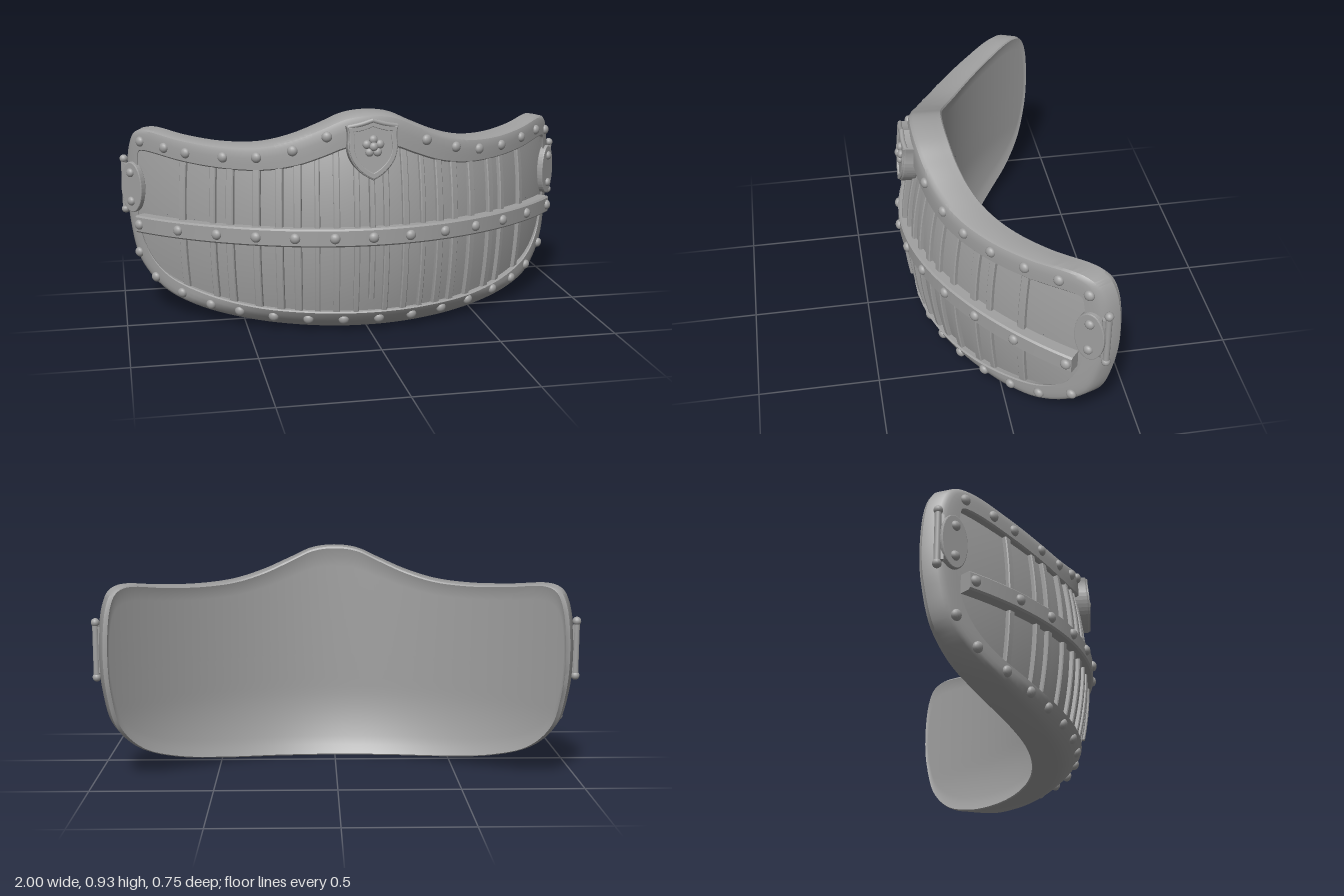
import * as THREE from 'three';
import { toCreasedNormals } from 'three/addons/utils/BufferGeometryUtils.js';

const V = (x, y, z) => new THREE.Vector3(x, y, z);

// Half outlines of the rim, from bottom centre to top centre: outer x, y, inner x, y
const HALF = [
  [0, .003, 0, .095], [.25, .008, .25, .097], [.5, .025, .48, .105], [.7, .06, .68, .135],
  [.84, .12, .81, .18], [.925, .22, .885, .26], [.96, .37, .925, .4], [.97, .55, .927, .55],
  [.955, .73, .922, .68], [.93, .79, .915, .71], [.89, .808, .89, .715], [.75, .79, .74, .695],
  [.6, .78, .58, .685], [.45, .79, .43, .69], [.32, .825, .3, .715], [.2, .875, .19, .755],
  [.1, .918, .1, .79], [0, .93, 0, .8],
];

// Depth rules: the whole plate is bent along a parabola
const bend = (x) => -.6 * x * x - .04 * x ** 8;
const rimZ = (x, y) => .28 + bend(x) - .085 * Math.max(0, 1 - y / .1) ** 1.5;
const backZ = (x, y) => .14 + bend(x) - .07 * Math.max(0, 1 - y / .3) ** 2;
const panelZ = (x, y) => .26 + bend(x) - .04 * x * x + .04 * (1 - ((y - .42) / .33) ** 2);
const strapZ = (x) => .322 + bend(x);
const strapY = (x) => .43 - .04 * x * x;
const normalAt = (x, ny = 0) => V(1.2 * x, ny, 1).normalize();

// Closed smooth outline sampled evenly by index, so inner and outer points pair up
function outline(ix) {
  const right = HALF.map((p) => V(p[ix], p[ix + 1], 0));
  const left = right.slice(1, -1).reverse().map((p) => V(-p.x, p.y, 0));
  const curve = new THREE.CatmullRomCurve3([...right, ...left], true);
  return Array.from({ length: 204 }, (_, i) => curve.getPoint(i / 204));
}

// Skin a list of closed loops, optionally closing both ends
function loft(loops, capped = false, crease = .6) {
  const n = loops[0].length, idx = [];
  for (let k = 0; k < loops.length - 1; k++) {
    for (let i = 0; i < n; i++) {
      const j = (i + 1) % n, a = k * n + i, b = a + n, c = (k + 1) * n + j, d = k * n + j;
      idx.push(a, b, c, a, c, d);
    }
  }
  if (capped) {
    const e = (loops.length - 1) * n;
    for (let i = 1; i < n - 1; i++) idx.push(0, i, i + 1, e, e + i + 1, e + i);
  }
  const g = new THREE.BufferGeometry().setFromPoints(loops.flat());
  g.setIndex(idx);
  return toCreasedNormals(g, crease);
}

// Bevelled section: side position and height over the surface
const section = (h, low, top, b) =>
  [[-h, low], [-h, top - b], [-h + b, top], [h - b, top], [h, top - b], [h, low]];

// Height of the inner rim edge at a given x
function edgeY(x, top) {
  const pts = top ? HALF.slice(9).reverse() : HALF.slice(0, 7);
  const ax = Math.abs(x);
  const i = Math.max(1, pts.findIndex((p) => p[2] >= ax));
  const a = pts[i - 1], b = pts[i];
  return THREE.MathUtils.mapLinear(ax, a[2], b[2], a[3], b[3]);
}

function shieldShape(s) {
  const sh = new THREE.Shape();
  sh.moveTo(0, -.122 * s);
  sh.bezierCurveTo(.05 * s, -.1 * s, .1 * s, -.05 * s, .098 * s, .02 * s);
  sh.quadraticCurveTo(.092 * s, .06 * s, .1 * s, .088 * s);
  sh.quadraticCurveTo(.05 * s, .09 * s, 0, .112 * s);
  sh.quadraticCurveTo(-.05 * s, .09 * s, -.1 * s, .088 * s);
  sh.quadraticCurveTo(-.092 * s, .06 * s, -.098 * s, .02 * s);
  sh.bezierCurveTo(-.1 * s, -.05 * s, -.05 * s, -.1 * s, 0, -.122 * s);
  return sh;
}

export function createModel() {
  const root = new THREE.Group();
  root.name = 'curvedArmourPlate';
  const steel = new THREE.MeshStandardMaterial({ color: 0xa0a0a0 });
  steel.name = 'grey steel';
  const add = (name, geo, parent = root) => {
    const m = new THREE.Mesh(geo, steel);
    m.name = name;
    parent.add(m);
    return m;
  };

  const outer = outline(0), inner = outline(2);
  const ring = (t, zf, dz = 0, sx = 1) => outer.map((o, i) => {
    const p = inner[i].clone().lerp(o, t);
    p.x *= sx;
    p.z = zf(p.x, p.y) + dz;
    return p;
  });
  // Loops that close a surface towards a horizontal middle line
  const fill = (pts, zf, v) => pts.map((p) => {
    const x = p.x * (1 - .03 * v), y = THREE.MathUtils.lerp(p.y, .45, v);
    return V(x, y, zf(x, y));
  });
  const steps = Array.from({ length: 13 }, (_, i) => i / 12);

  // Raised rim with rounded outer edge and side wall
  add('rim', loft([
    ring(0, panelZ, -.01), ring(0, rimZ, -.002), ring(.06, rimZ, .006), ring(.3, rimZ, .006), ring(.55, rimZ, .005),
    ring(.8, rimZ, .002), ring(.93, rimZ, -.004), ring(1, rimZ, -.018),
    ring(1, backZ, .035, .975), ring(1, backZ, .006, .957), ring(.94, backZ, 0, .957),
  ]));
  // Front panel and smooth hollow back
  add('frontPanel', loft([...steps].reverse().map((v) => fill(inner, panelZ, v))));
  const backEdge = ring(.94, backZ, 0, .957);
  add('backSurface', loft(steps.map((v) => fill(backEdge, (x, y) => backZ(x, y) + (v > 0 ? .008 : 0), v))));

  // Upright battens
  const batten = (name, x0, h, y0, y1, top) => {
    const loops = [];
    for (let k = 0; k <= 16; k++) {
      const y = THREE.MathUtils.lerp(y0, y1, k / 16);
      const x = x0 * (1 + .025 * (1 - ((y - .42) / .33) ** 2));
      const n = normalAt(x);
      const side = V(-n.z, 0, n.x);
      loops.push(section(h, -.02, top, .004).map(([s, d]) =>
        V(x, y, panelZ(x, y)).addScaledVector(side, s).addScaledVector(n, d)));
    }
    add(name, loft(loops, true));
  };
  [[.06, .012], [.14, .014], [.215, .011], [.29, .016], [.36, .016], [.445, .016], [.545, .017], [.61, .014], [.725, .016]]
    .forEach(([x, h]) => [-1, 1].forEach((s) =>
      batten('batten', s * x, h, edgeY(x, false) - .005, edgeY(x, true) + .005, .017)));
  batten('centreBatten', 0, .011, .155, .72, .028);

  // Horizontal strap
  const strap = [];
  for (let k = 0; k <= 64; k++) {
    const x = -.93 + 1.86 * k / 64, n = normalAt(x);
    strap.push(section(.038, -.035, .018, .007).map(([s, d]) =>
      V(x, strapY(x) + s, strapZ(x)).addScaledVector(n, d)));
  }
  add('strap', loft(strap, true));

  // Domed rivets
  const dome = new THREE.SphereGeometry(.022, 16, 10);
  const rivet = (name, p, n, scale = 1) => {
    const m = add(name, dome, root);
    m.position.copy(p);
    m.quaternion.setFromUnitVectors(V(0, 0, 1), n);
    m.scale.set(scale, scale, scale * .75);
  };
  [[-.91, .755], [-.815, .745], [-.73, .735], [-.585, .735], [-.455, .745], [-.315, .78], [-.18, .84],
    [.24, .81], [.38, .765], [.5, .74], [.625, .735], [.75, .745], [.855, .755], [.935, .735]]
    .forEach(([x, y]) => rivet('topRivet', V(x, y, rimZ(x, y) + .006), normalAt(x)));
  [[-.93, .255], [-.865, .16], [-.76, .115], [-.645, .085], [-.53, .072], [-.395, .062], [-.255, .058], [-.11, .057],
    [.04, .057], [.185, .058], [.325, .065], [.46, .075], [.595, .09], [.71, .107], [.81, .137], [.905, .207]]
    .forEach(([x, y]) => rivet('bottomRivet', V(x, y, rimZ(x, y) + .006), normalAt(x, -.35)));
  [-.915, -.76, -.61, -.46, -.31, -.155, 0, .155, .31, .46, .61, .76, .915].forEach((x) => {
    const n = normalAt(x);
    rivet('strapRivet', V(x, strapY(x), strapZ(x)).addScaledVector(n, .019), n);
  });

  // Hinge plate and pin at each end
  for (const s of [-1, 1]) {
    const n = normalAt(s * .945);
    const oval = new THREE.Shape().absellipse(0, 0, .06, .108, 0, Math.PI * 2);
    const plate = add('hingePlate', new THREE.ExtrudeGeometry(oval,
      { depth: .02, bevelSize: .004, bevelThickness: .004, bevelSegments: 2, curveSegments: 20 }));
    plate.position.set(s * .941, .547, -.278).addScaledVector(n, -.004);
    plate.quaternion.setFromUnitVectors(V(0, 0, 1), n);
    for (const y of [.485, .612]) rivet('hingeRivet', V(s * .941, y, -.278).addScaledVector(n, .021), n, .9);
    const pin = add('hingePin', new THREE.CylinderGeometry(.013, .013, .22, 16));
    pin.position.set(s * .981, .55, -.33);
    const leaf = add('hingeLeaf', new THREE.BoxGeometry(.04, .19, .03));
    leaf.position.set(s * .962, .55, -.322);
    for (const y of [.437, .663]) {
      const knob = add('pinKnob', new THREE.SphereGeometry(.018, 16, 10));
      knob.position.set(s * .981, y, -.33);
    }
  }

  // Shield badge with raised border, rolled top and flower
  const badge = new THREE.Group();
  badge.name = 'shieldBadge';
  badge.position.set(0, .79, .268);
  badge.rotation.x = -.09;
  root.add(badge);
  const bevel = { bevelSize: .006, bevelThickness: .006, bevelSegments: 3, curveSegments: 12 };
  add('shieldBody', new THREE.ExtrudeGeometry(shieldShape(1), { depth: .048, ...bevel }), badge);
  const frame = shieldShape(.98);
  frame.holes.push(shieldShape(.83));
  add('shieldBorder', new THREE.ExtrudeGeometry(frame,
    { depth: .058, ...bevel, bevelSize: .003, bevelThickness: .003 }), badge);
  for (const s of [-1, 1]) {
    const roll = new THREE.CatmullRomCurve3([V(0, .115, .056), V(s * .05, .1, .056), V(s * .1, .09, .05)]);
    add('shieldTopRoll', new THREE.TubeGeometry(roll, 10, .01, 10), badge);
  }
  const petal = new THREE.SphereGeometry(.018, 14, 10);
  for (let i = 0; i < 6; i++) {
    const a = Math.PI / 2 + i * Math.PI * 2 / 5, r = i < 5 ? .028 : 0;
    const p = add(i < 5 ? 'petal' : 'flowerCentre', petal, badge);
    p.position.set(r * Math.cos(a), .01 + r * Math.sin(a), i < 5 ? .058 : .066);
    p.scale.set(1, 1, .75);
  }
  return root;
}
